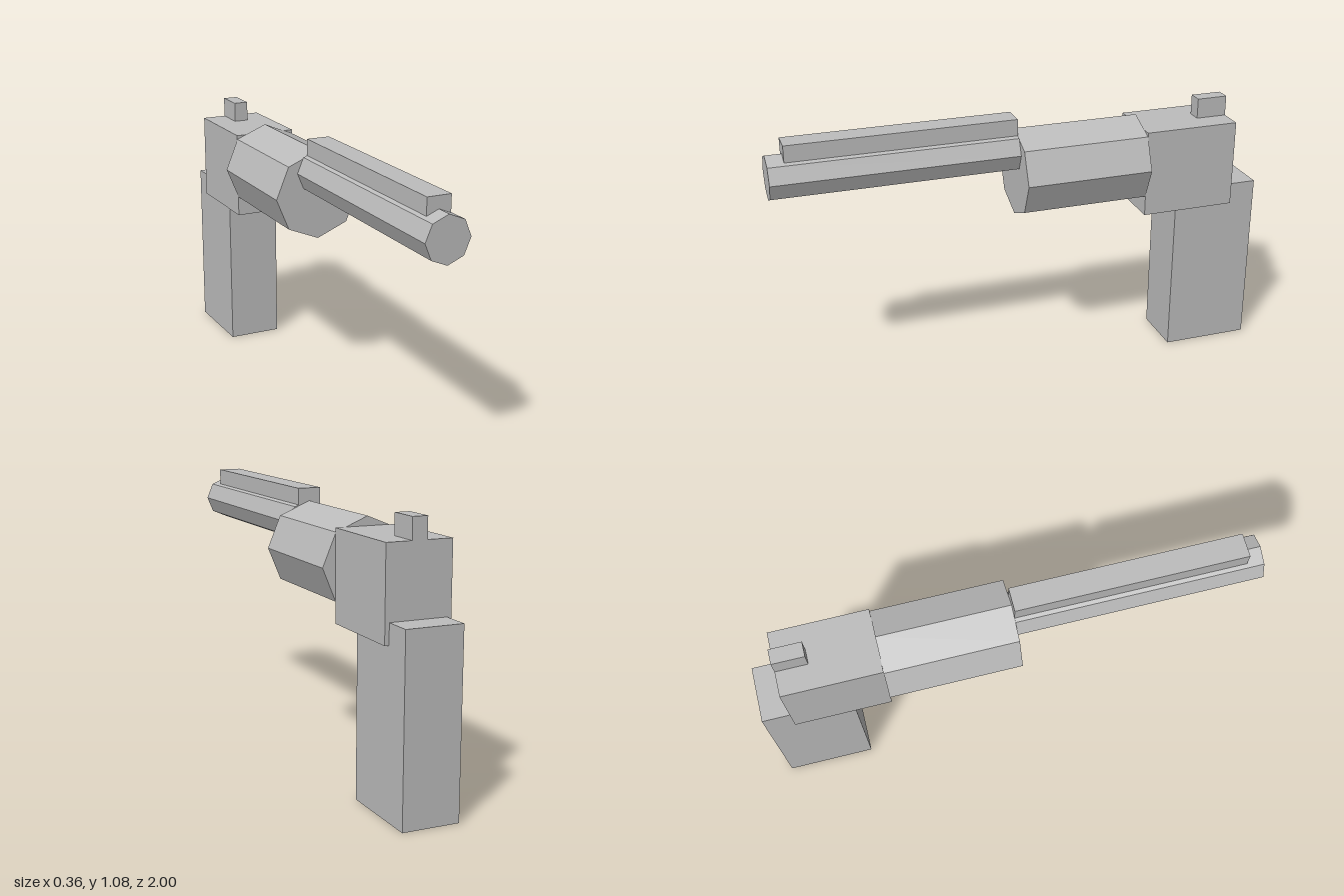
import * as THREE from 'three';

export function createModel() {
  const group = new THREE.Group();
  const grey = new THREE.MeshStandardMaterial({ color: 0xbcbcbc, flatShading: true });
  grey.name = 'plain grey';

  const add = (name, geometry, y, z) => {
    const mesh = new THREE.Mesh(geometry, grey);
    mesh.name = name;
    mesh.position.set(0, y, z);
    group.add(mesh);
  };

  // Box centred on x, given by its width and its y and z ranges
  const box = (name, width, y0, y1, z0, z1) =>
    add(name, new THREE.BoxGeometry(width, y1 - y0, z1 - z0), (y0 + y1) / 2, (z0 + z1) / 2);

  // Eight-sided prism lying along z, with a corner at the top
  const prism = (name, radius, y, z0, z1) =>
    add(name, new THREE.CylinderGeometry(radius, radius, z1 - z0, 8).rotateX(Math.PI / 2), y, (z0 + z1) / 2);

  prism('barrel', 0.09, 0.945, 0.025, 1);
  prism('drum', 0.182, 0.848, -0.495, 0.025);
  box('topRib', 0.096, 1.012, 1.082, 0.025, 0.935);
  box('frame', 0.26, 0.637, 0.993, -0.885, -0.495);
  box('rearSight', 0.06, 0.993, 1.075, -0.885, -0.758);
  box('grip', 0.226, 0, 0.717, -1, -0.642);

  return group;
}
